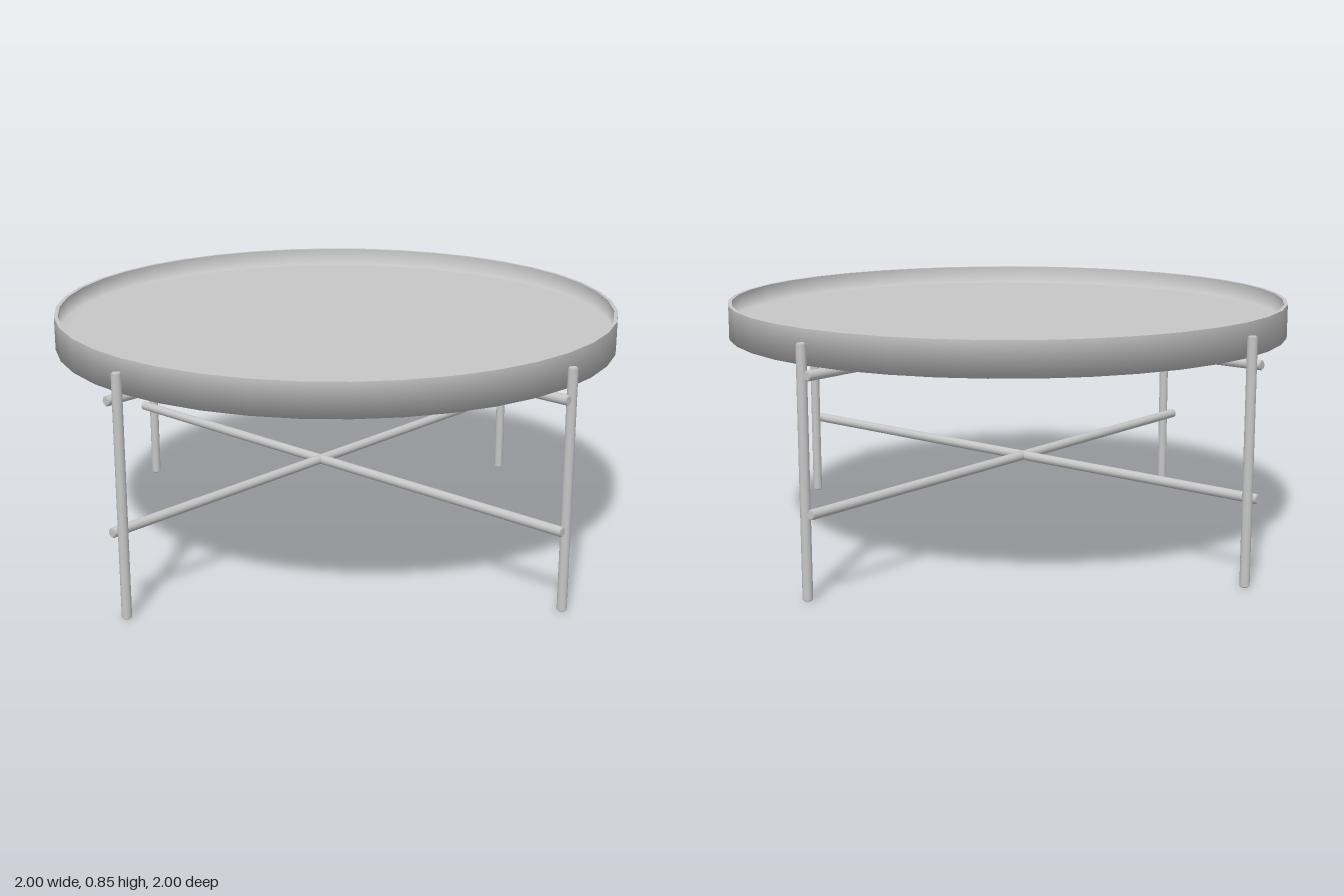
import * as THREE from 'three';

const metal = new THREE.MeshStandardMaterial({ color: 0xc6c6c6 });
metal.name = 'light grey metal';

// Lathe from rings of [radius, y, normalRadius, normalY]; stated normals soften the tray's folds.
function turned(rings, segments) {
  const geo = new THREE.LatheGeometry(rings.map(([r, y]) => new THREE.Vector2(r, y)), segments);
  const normal = geo.attributes.normal;
  for (let i = 0; i <= segments; i++) {
    const a = (i / segments) * Math.PI * 2;
    rings.forEach(([, , nr, ny], j) => {
      const l = Math.hypot(nr, ny);
      normal.setXYZ(i * rings.length + j, (nr / l) * Math.sin(a), ny / l, (nr / l) * Math.cos(a));
    });
  }
  return geo;
}

// Round rod with slightly bevelled ends, standing along y and centred.
function rodGeometry(length, r = 0.0165) {
  const h = length / 2, b = 0.005;
  return turned([
    [0, -h, 0, -1], [r - b, -h, 0, -1],
    [r, -h + b, 1, 0], [r, h - b, 1, 0],
    [r - b, h, 0, 1], [0, h, 0, 1],
  ], 16);
}

function addRod(group, name, length, position, axis = 'y') {
  const rod = new THREE.Mesh(rodGeometry(length), metal);
  rod.name = name;
  rod.position.set(...position);
  if (axis === 'x') rod.rotation.z = Math.PI / 2;
  if (axis === 'z') rod.rotation.x = Math.PI / 2;
  group.add(rod);
}

export function createModel() {
  const table = new THREE.Group();
  table.name = 'trayTable';

  // Round tray: underside, outer wall, thin rim, inner wall, floor
  const R = 0.963, inner = 0.95, bottom = 0.74, top = 0.853, floor = 0.79;
  const tray = new THREE.Mesh(turned([
    [0, bottom, 0, -1], [R, bottom, 0.25, -1],
    [R, top, 1, 0], [R, top, 0, 1],
    [inner, top, 0, 1], [inner, top, -1, 0],
    [inner, floor, -0.25, 1], [inner - 0.03, floor, 0, 1], [0, floor, 0, 1],
  ], 40), metal);
  tray.name = 'tray';
  table.add(tray);

  // Four legs, each with a short upper bracket passing beside it
  const legH = 0.813, side = 0.983, beside = 0.038, upperY = 0.717, lowerY = 0.285;
  for (const s of [-1, 1]) {
    addRod(table, s > 0 ? 'leftLeg' : 'rightLeg', legH, [s * side, legH / 2, 0]);
    addRod(table, s > 0 ? 'frontLeg' : 'backLeg', legH, [-0.003, legH / 2, s * side]);
    addRod(table, 'sideBracket', 0.413, [s * 0.7935, upperY, beside], 'x');
    addRod(table, s > 0 ? 'frontBracket' : 'backBracket', 0.413, [-0.04, upperY, s * 0.7935], 'z');
  }

  // Crossed lower stretchers
  addRod(table, 'sideStretcher', 2, [0, lowerY, beside], 'x');
  addRod(table, 'frontBackStretcher', 2, [-0.04, lowerY, 0], 'z');

  return table;
}
